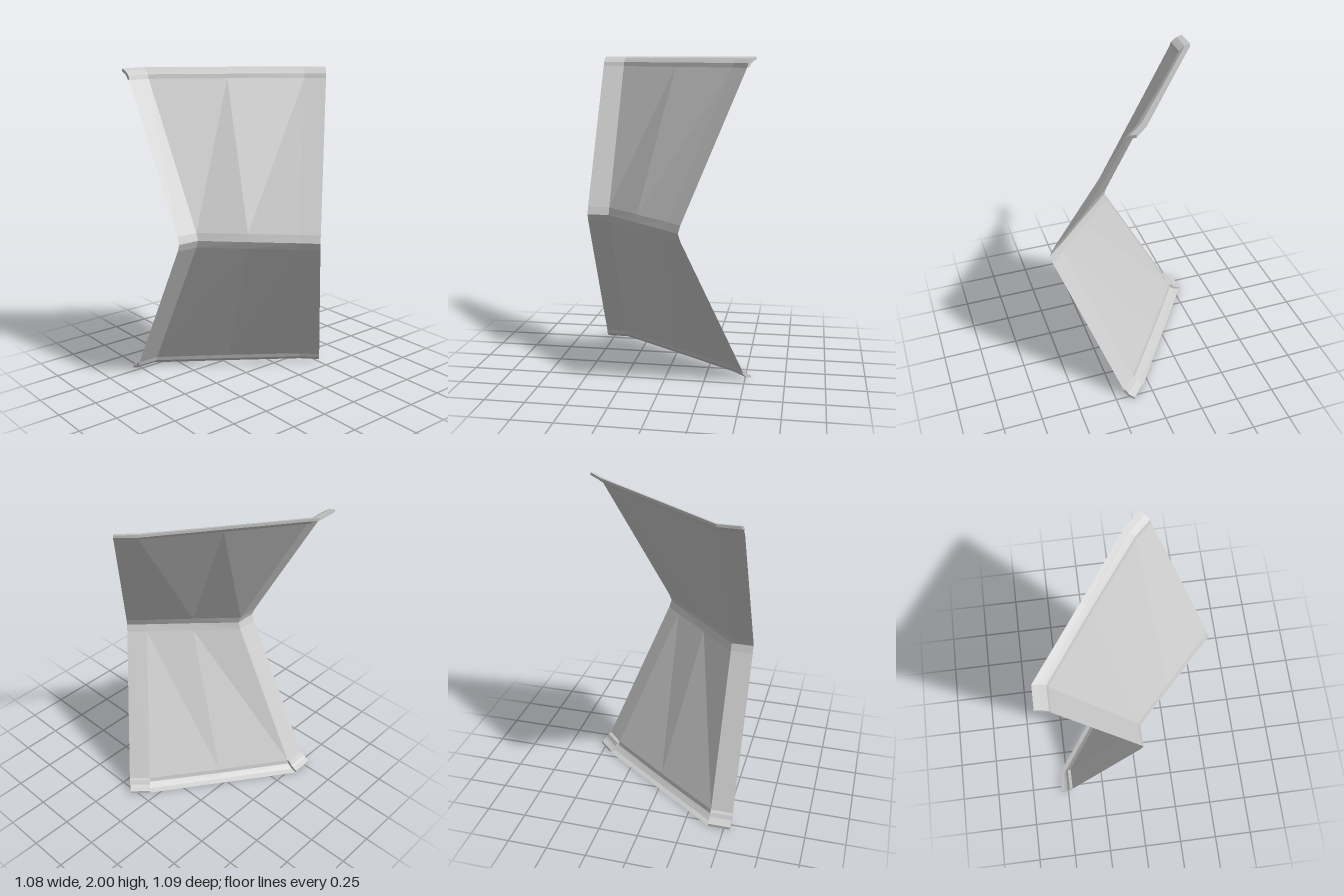
import * as THREE from 'three';

// Plan paths [x, z]: wall at mid height, wall at its ends, outer edge of the trim
const MID = [[-0.54, 0.03], [-0.4, 0.03], [-0.18, 0.245], [0.04, 0.455], [0.13, 0.547]];
const END = [[-0.54, -0.465], [-0.4, -0.465], [0, -0.185], [0.39, 0.1], [0.485, 0.197]];
const OUT = [[-0.54, -0.547], [-0.4, -0.547], [0.02, -0.25], [0.44, 0.045], [0.535, 0.137]];

// Trim section [share of the way from END to OUT, y], front and back faces
const FRONT = [[0, 1.935], [0.1, 1.962], [0.3, 1.975], [0.55, 1.99], [1, 2]];
const BACK = [[0, 1.935], [0.25, 1.94], [0.45, 1.962], [0.65, 1.972], [1, 1.983]];

const material = new THREE.MeshStandardMaterial({
  color: 0xcccccc, flatShading: true, side: THREE.DoubleSide,
});

const row = (a, b, t, y) => a.map(([x, z], i) => [
  x + (b[i][0] - x) * t, y, z + (b[i][1] - z) * t,
]);

// Surface through equal-length rows of points
function sheet(name, rows) {
  const n = rows[0].length;
  const index = [];
  for (let r = 0; r < rows.length - 1; r++) {
    for (let c = 0; c < n - 1; c++) {
      const a = r * n + c, b = a + 1, d = a + n, e = d + 1;
      index.push(a, b, e, a, e, d);
    }
  }
  const geometry = new THREE.BufferGeometry();
  geometry.setAttribute('position', new THREE.Float32BufferAttribute(rows.flat(2), 3));
  geometry.setIndex(index);
  geometry.computeVertexNormals();
  const mesh = new THREE.Mesh(geometry, material);
  mesh.name = name;
  return mesh;
}

// Solid trim moulding along path columns from..to; top or bottom edge
function trim(name, from, to, bottom) {
  const group = new THREE.Group();
  group.name = name;
  const rows = (section) => section.map(([t, y]) =>
    row(END, OUT, t, bottom ? 2 - y : y).slice(from, to + 1));
  const front = rows(FRONT), back = rows(BACK);
  const loop = [...front, ...[...back].reverse()];
  group.add(sheet('trimFaces', bottom ? [...loop].reverse() : loop));
  for (const c of [0, to - from]) {
    const caps = [front.map((r) => r[c]), back.map((r) => r[c])];
    group.add(sheet('trimEndCap', (c === 0) !== bottom ? caps.reverse() : caps));
  }
  return group;
}

export function createModel() {
  const model = new THREE.Group();
  model.name = 'bentWallPanel';

  // Bent wall with a softened fold at mid height
  const levels = [[1, 0.065], [0.035, 0.953], [0, 1], [0.035, 1.047], [1, 1.935]];
  model.add(sheet('wall', levels.map(([t, y]) => row(MID, END, t, y))));

  // Full trim on top, end blocks and a thin cove on the bottom
  model.add(trim('topTrim', 0, 4, false));
  model.add(trim('bottomTrimRight', 0, 1, true));
  model.add(trim('bottomTrimLeft', 3, 4, true));
  const cove = FRONT.map(([t, y]) => row(END, OUT, t, 2 - y).slice(1, 4)).reverse();
  model.add(sheet('bottomCove', cove));
  return model;
}
